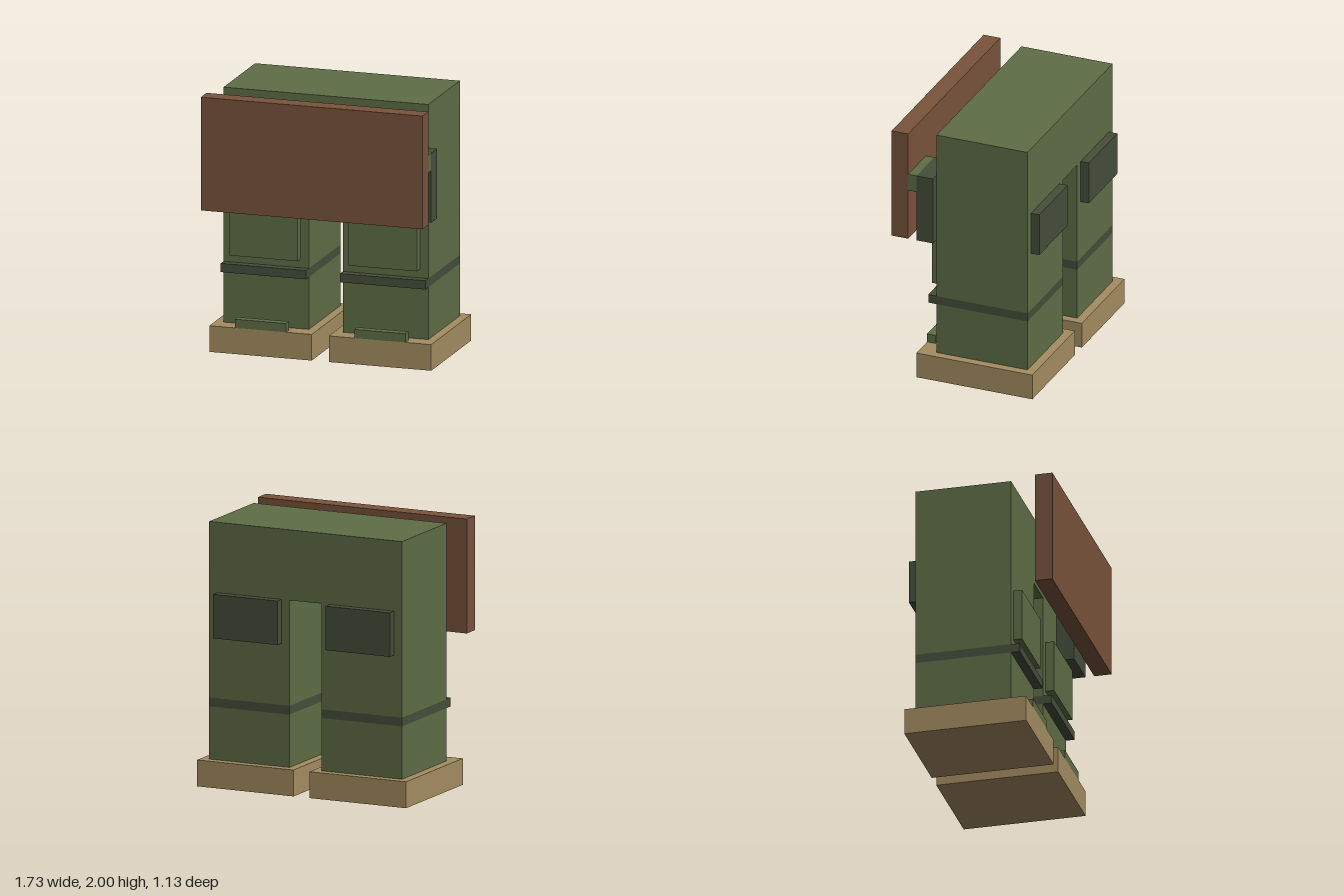
import * as THREE from 'three';

const U = 1 / 15; // grid unit

const material = (name, color) => {
  const m = new THREE.MeshStandardMaterial({ color });
  m.name = name;
  return m;
};

export function createModel() {
  const model = new THREE.Group();
  model.name = 'blockTrousers';

  const green = material('olive green', 0x5e6d46);
  const dark = material('dark green', 0x464e3b);
  const brown = material('leather brown', 0x78533b);
  const tan = material('sole tan', 0xa48d61);

  // Box from its lower and upper corners, in grid units
  const box = (parent, name, mat, [x0, y0, z0], [x1, y1, z1]) => {
    const geometry = new THREE.BoxGeometry((x1 - x0) * U, (y1 - y0) * U, (z1 - z0) * U);
    const mesh = new THREE.Mesh(geometry, mat);
    mesh.position.set((x0 + x1) / 2 * U, (y0 + y1) / 2 * U, (z0 + z1) / 2 * U);
    mesh.name = name;
    parent.add(mesh);
  };

  // Hips and front apron
  box(model, 'hips', green, [-12, 22, -7.5], [12, 30, 3.5]);
  box(model, 'apron', brown, [-13, 17, 6.5], [13, 30, 8.5]);

  // Pouch and its flap, on the left side only
  box(model, 'pouch', dark, [8, 17, 3.5], [13, 25, 5.5]);
  box(model, 'pouchFlap', green, [8, 23, 5.5], [13, 25, 6.5]);

  // Legs, each built around its own centre line
  for (const [side, cx] of [['left', 7], ['right', -7]]) {
    const leg = new THREE.Group();
    leg.name = side + 'Leg';
    leg.position.x = cx * U;
    model.add(leg);

    box(leg, 'foot', tan, [-6, 0, -8.5], [6, 3, 5.5]);
    box(leg, 'shin', green, [-5, 3, -7.5], [5, 9, 3.5]);
    box(leg, 'kneeBand', dark, [-5, 9, -7.5], [5, 10, 4.5]);
    box(leg, 'thigh', green, [-5, 10, -7.5], [5, 22, 3.5]);
    box(leg, 'thighPanel', green, [-4, 11, 3.5], [4, 17, 4.5]);
    box(leg, 'toeStrip', green, [-3, 3, 4.5], [3, 4, 5.5]);
    box(leg, 'backPocket', dark, [-4, 17, -8.5], [4, 22, -7.5]);
  }

  return model;
}
